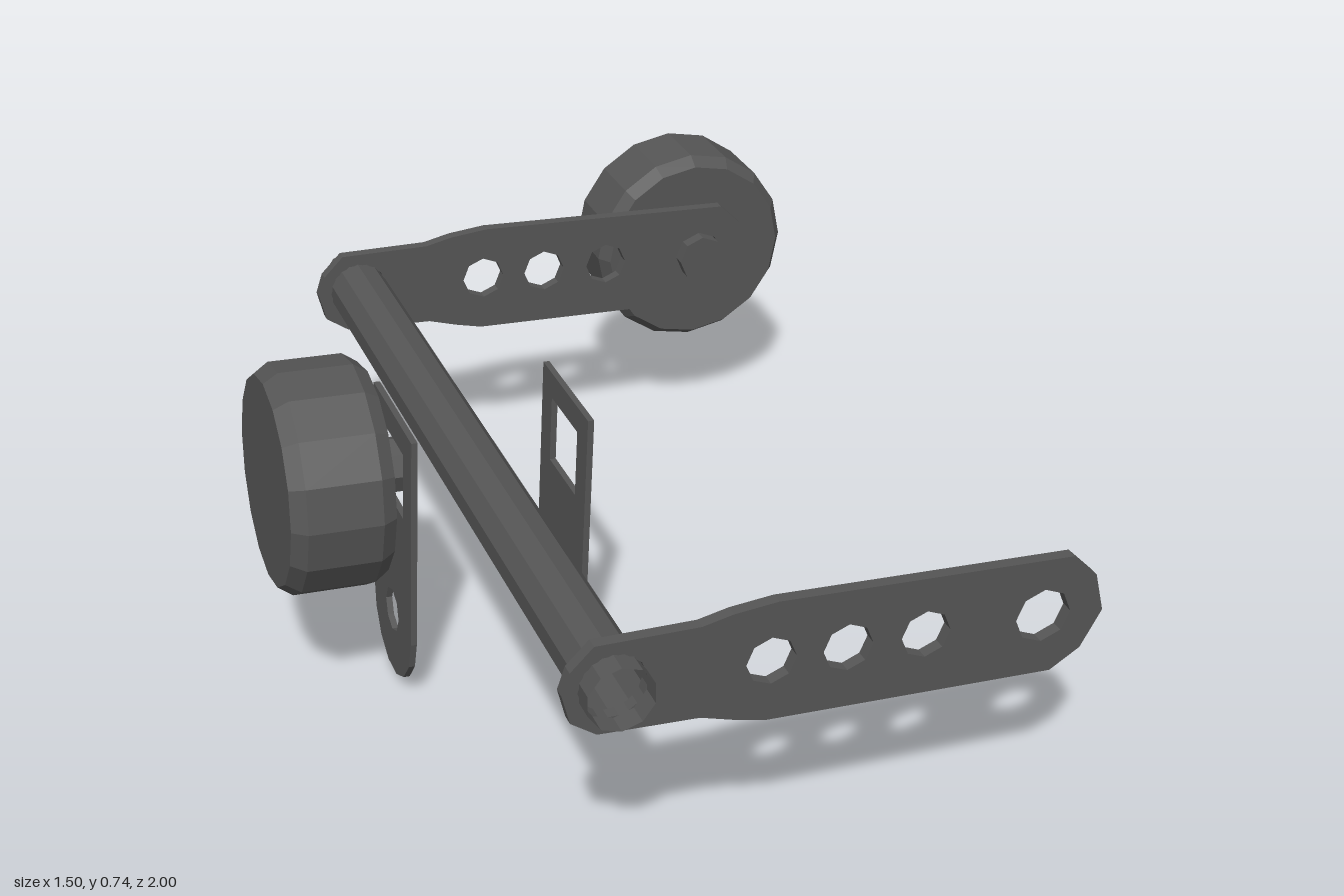
import * as THREE from 'three';

const steel = new THREE.MeshStandardMaterial({ color: 0x555555, flatShading: true });
const steelOpen = new THREE.MeshStandardMaterial({ color: 0x555555, flatShading: true, side: THREE.DoubleSide });
const TILT = -0.042;

function part(name, geometry, material = steel) {
  const mesh = new THREE.Mesh(geometry, material);
  mesh.name = name;
  return mesh;
}

// Polygonal hole path
function hole(x, y, r, sides) {
  const pts = [];
  for (let i = 0; i < sides; i++) {
    const a = (-i / sides) * Math.PI * 2;
    pts.push(new THREE.Vector2(x + r * Math.cos(a), y + r * Math.sin(a)));
  }
  return new THREE.Path(pts);
}

// Flat plate with holes, centred on its thickness
function plate(points, holes, depth) {
  const shape = new THREE.Shape(points.map(([x, y]) => new THREE.Vector2(x, y)));
  shape.holes.push(...holes);
  return new THREE.ExtrudeGeometry(shape, { depth, bevelEnabled: false }).translate(0, 0, -depth / 2);
}

// Solid wheel with chamfered rims, axis along y
function wheelGeometry() {
  const r = 0.235, h = 0.105;
  const profile = [[0, -h], [r - 0.02, -h], [r, -h + 0.03], [r, h - 0.03], [r - 0.02, h], [0, h]];
  return new THREE.LatheGeometry(profile.map(([x, y]) => new THREE.Vector2(x, y)), 16);
}

// Long side arm, in the xy plane
function armGeometry() {
  const outline = [[-0.425, 0.5], [-0.41, 0.44], [-0.36, 0.405], [-0.165, 0.395], [-0.1, 0.375],
    [-0.04, 0.36], [0.54, 0.337], [0.6, 0.375], [0.64, 0.45], [0.62, 0.53], [0.57, 0.58],
    [-0.02, 0.608], [-0.105, 0.6], [-0.165, 0.587], [-0.365, 0.59], [-0.41, 0.545]];
  const holes = [hole(-0.33, 0.5, 0.066, 10), hole(0.515, 0.463, 0.056, 8)];
  [[-0.03, 0.486], [0.12, 0.481], [0.275, 0.475]].forEach(([x, y]) => holes.push(hole(x, y, 0.049, 8)));
  return plate(outline, holes, 0.025);
}

// Hanging bracket with a rounded foot, facing x, centred on its height
function bracketGeometry() {
  const pts = [[0.14, 0.605], [-0.14, 0.605]];
  for (let i = 0; i <= 7; i++) {
    const a = Math.PI + (i / 7) * Math.PI;
    pts.push([0.14 * Math.cos(a), 0.14 + 0.14 * Math.sin(a)]);
  }
  const slot = new THREE.Path([[-0.08, 0.405], [-0.08, 0.55], [0.08, 0.55], [0.08, 0.405]]
    .map(([x, y]) => new THREE.Vector2(x, y)));
  return plate(pts, [slot, hole(0, 0.145, 0.048, 8)], 0.013).translate(0, -0.3025, 0).rotateY(Math.PI / 2);
}

export function createModel() {
  const model = new THREE.Group();
  model.name = 'wheelLinkage';

  // Open cross tube joining the two arms
  const tube = part('crossTube', new THREE.CylinderGeometry(0.066, 0.066, 1.84, 10, 1, true).rotateX(Math.PI / 2), steelOpen);
  tube.position.set(-0.33, 0.5, 0.08);
  model.add(tube);

  // Side arms
  [['frontArm', 0.943], ['backArm', -0.775]].forEach(([name, z]) => {
    const arm = part(name, armGeometry());
    arm.position.z = z;
    model.add(arm);
  });

  // Back wheel and its bolt through the arm
  const backWheel = new THREE.Group();
  backWheel.name = 'backWheel';
  const backTyre = part('backTyre', wheelGeometry().rotateX(Math.PI / 2));
  backTyre.position.z = -0.895;
  const backBolt = part('backBolt', new THREE.CylinderGeometry(0.056, 0.056, 0.07, 8).rotateX(Math.PI / 2));
  backBolt.position.z = -0.768;
  backWheel.add(backTyre, backBolt);
  backWheel.position.set(0.512, 0.463, 0);
  model.add(backWheel);

  // Hanging brackets, leaning slightly
  [['outerBracket', -0.482, 0.319], ['innerBracket', -0.117, 0.303]].forEach(([name, x, y]) => {
    const bracket = part(name, bracketGeometry());
    bracket.position.set(x, y, 0.065);
    bracket.rotation.z = TILT;
    model.add(bracket);
  });

  // Side wheel and its stub, with the same lean
  const sideWheel = new THREE.Group();
  sideWheel.name = 'sideWheel';
  const stub = part('sideStub', new THREE.CylinderGeometry(0.058, 0.058, 0.07, 8).rotateZ(Math.PI / 2));
  stub.position.x = 0.135;
  sideWheel.add(part('sideTyre', wheelGeometry().rotateZ(Math.PI / 2)), stub);
  sideWheel.position.set(-0.635, 0.51, 0.065);
  sideWheel.rotation.z = TILT;
  model.add(sideWheel);

  return model;
}
